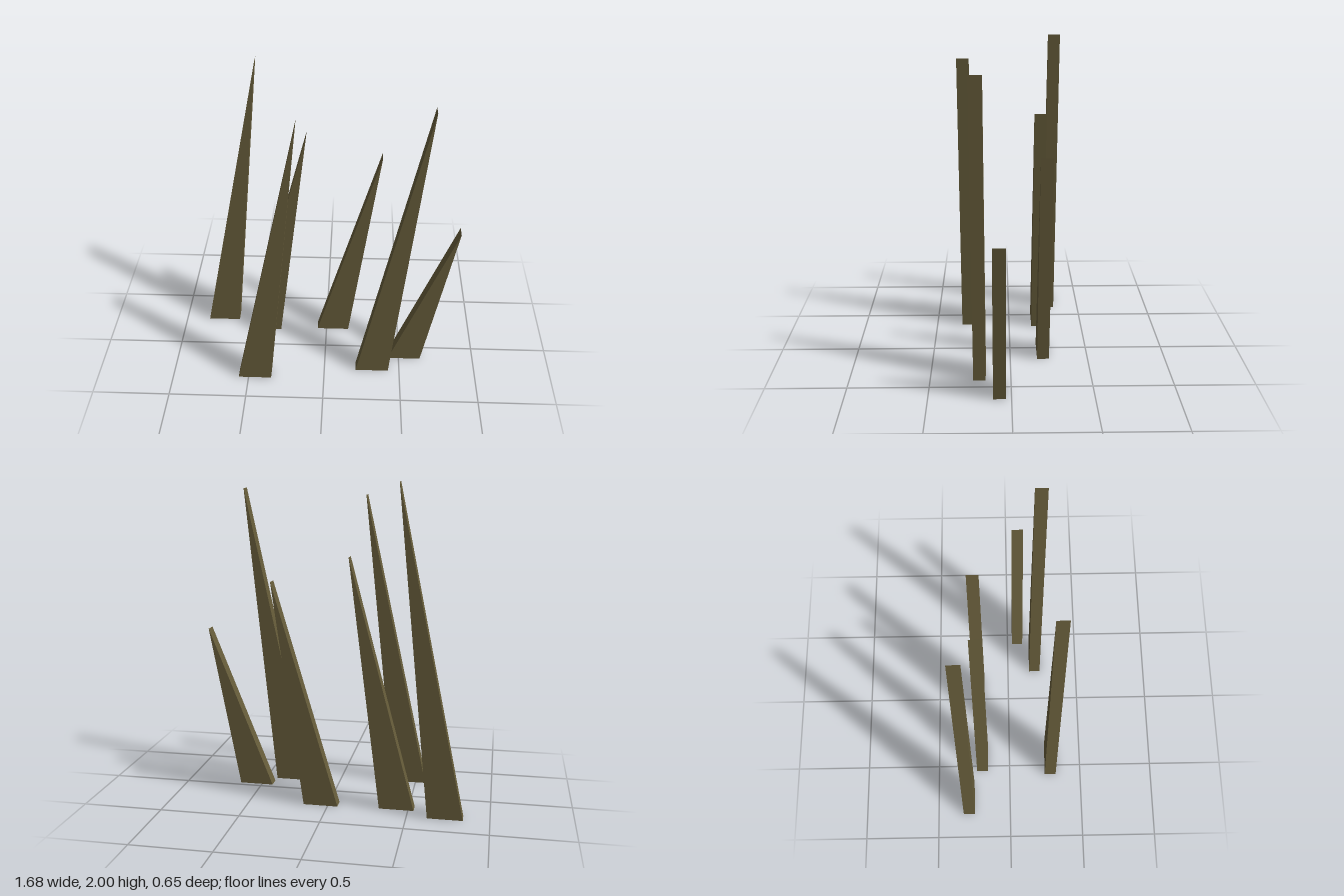
import * as THREE from 'three';

const WIDTH = 0.215, LEAN = 0.41, DEPTH = 0.077;

// [left base corner x, centre z, height]
const BLADES = [
  [-0.84, -0.288, 2.0],
  [-0.565, 0.288, 1.895],
  [-0.535, -0.193, 1.555],
  [-0.062, -0.212, 1.4],
  [0.21, 0.195, 1.935],
  [0.428, 0.072, 1.04],
];

// Leaning triangular wedge, extruded along z
function bladeGeometry(height) {
  const shape = new THREE.Shape();
  shape.moveTo(0, 0);
  shape.lineTo(WIDTH, 0);
  shape.lineTo(LEAN, height);
  shape.closePath();
  const geometry = new THREE.ExtrudeGeometry(shape, { depth: DEPTH, bevelEnabled: false });
  return geometry.translate(0, 0, -DEPTH / 2);
}

export function createModel() {
  const group = new THREE.Group();
  group.name = 'grassTuft';
  const olive = new THREE.MeshStandardMaterial({ color: 0x665c3a });
  olive.name = 'dry olive';

  BLADES.forEach(([x, z, height], i) => {
    const blade = new THREE.Mesh(bladeGeometry(height), olive);
    blade.name = `grassBlade${i + 1}`;
    blade.position.set(x, 0, z);
    group.add(blade);
  });
  return group;
}
